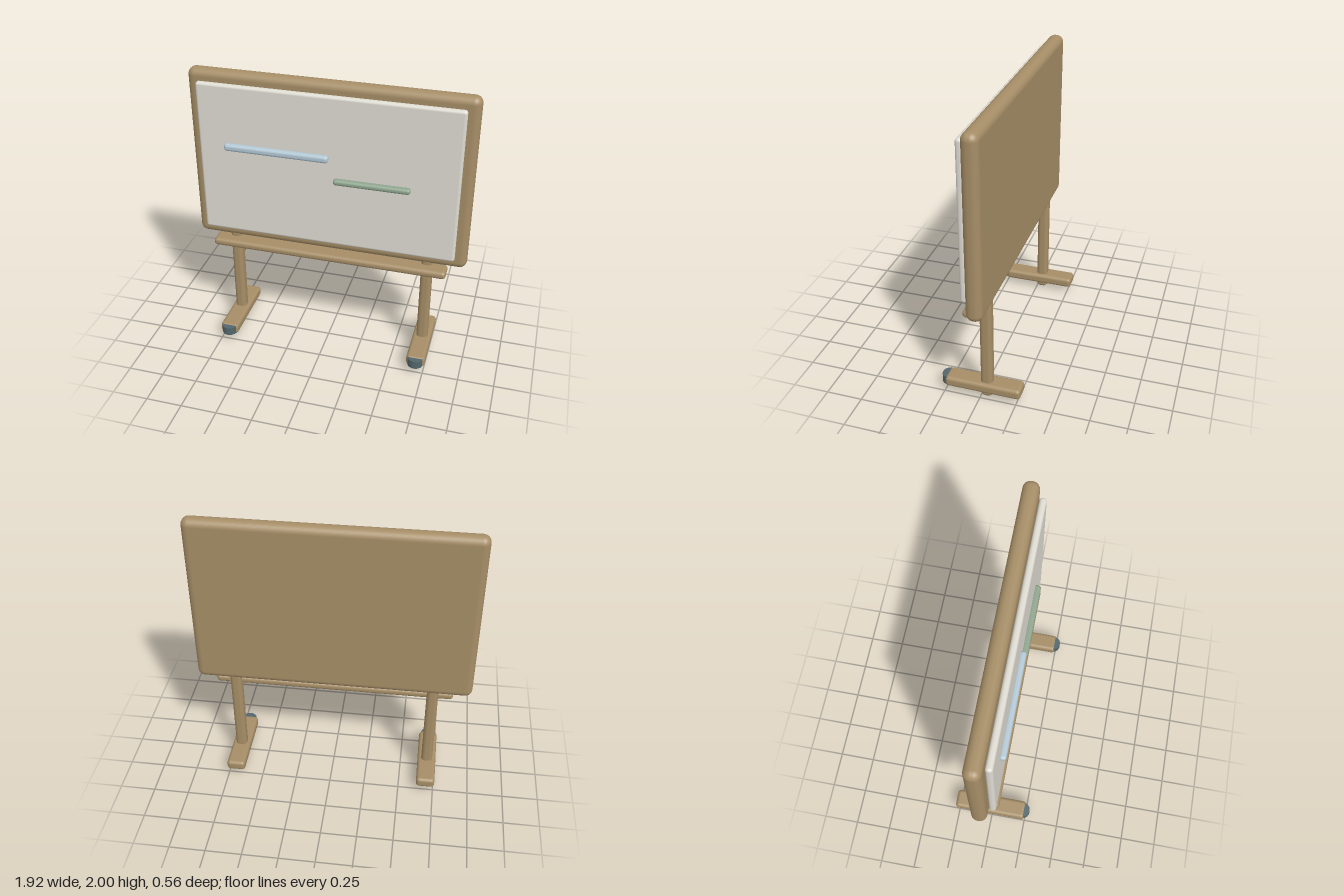
import * as THREE from 'three';
import { RoundedBoxGeometry } from 'three/addons/geometries/RoundedBoxGeometry.js';

function makeMaterial(name, color) {
  const m = new THREE.MeshStandardMaterial({ color });
  m.name = name;
  return m;
}

export function createModel() {
  const wood = makeMaterial('wood', 0xa58d66);
  const white = makeMaterial('board white', 0xdedbd2);
  const blue = makeMaterial('pale blue', 0xb3c8d4);
  const green = makeMaterial('sage green', 0x8fa68f);
  const rubber = makeMaterial('slate rubber', 0x53676c);

  const group = new THREE.Group();
  group.name = 'whiteboardStand';

  // Rounded box given by its extents on each axis
  function block(name, material, [x0, x1], [y0, y1], [z0, z1], radius) {
    const geometry = new RoundedBoxGeometry(x1 - x0, y1 - y0, z1 - z0, 4, radius);
    const mesh = new THREE.Mesh(geometry, material);
    mesh.name = name;
    mesh.position.set((x0 + x1) / 2, (y0 + y1) / 2, (z0 + z1) / 2);
    group.add(mesh);
    return mesh;
  }

  // Backing frame, writing surface and the two marks on it
  block('frame', wood, [-0.96, 0.96], [0.757, 2], [-0.094, 0.016], 0.05);
  block('writingSurface', white, [-0.883, 0.883], [0.842, 1.932], [0.022, 0.068], 0.02);
  block('blueStrip', blue, [-0.697, 0.019], [1.476, 1.526], [0.058, 0.106], 0.02);
  block('greenStrip', green, [0.053, 0.567], [1.325, 1.365], [0.058, 0.106], 0.018);

  // Pen tray below the frame
  block('tray', wood, [-0.835, 0.835], [0.692, 0.748], [-0.052, 0.078], 0.025);

  // Legs, feet and front bumpers, mirrored left and right
  for (const [side, s] of [['left', 1], ['right', -1]]) {
    const x = 0.693 * s;
    block(side + 'Post', wood, [x - 0.04, x + 0.04], [0, 0.8], [-0.078, 0.004], 0.03);
    block(side + 'Foot', wood, [x - 0.066, x + 0.066], [0.046, 0.12], [-0.279, 0.246], 0.025);
    const bumper = new THREE.Mesh(new THREE.CylinderGeometry(0.055, 0.055, 0.06, 20), rubber);
    bumper.name = side + 'Bumper';
    bumper.position.set(x, 0.084, 0.225);
    group.add(bumper);
  }
  return group;
}
